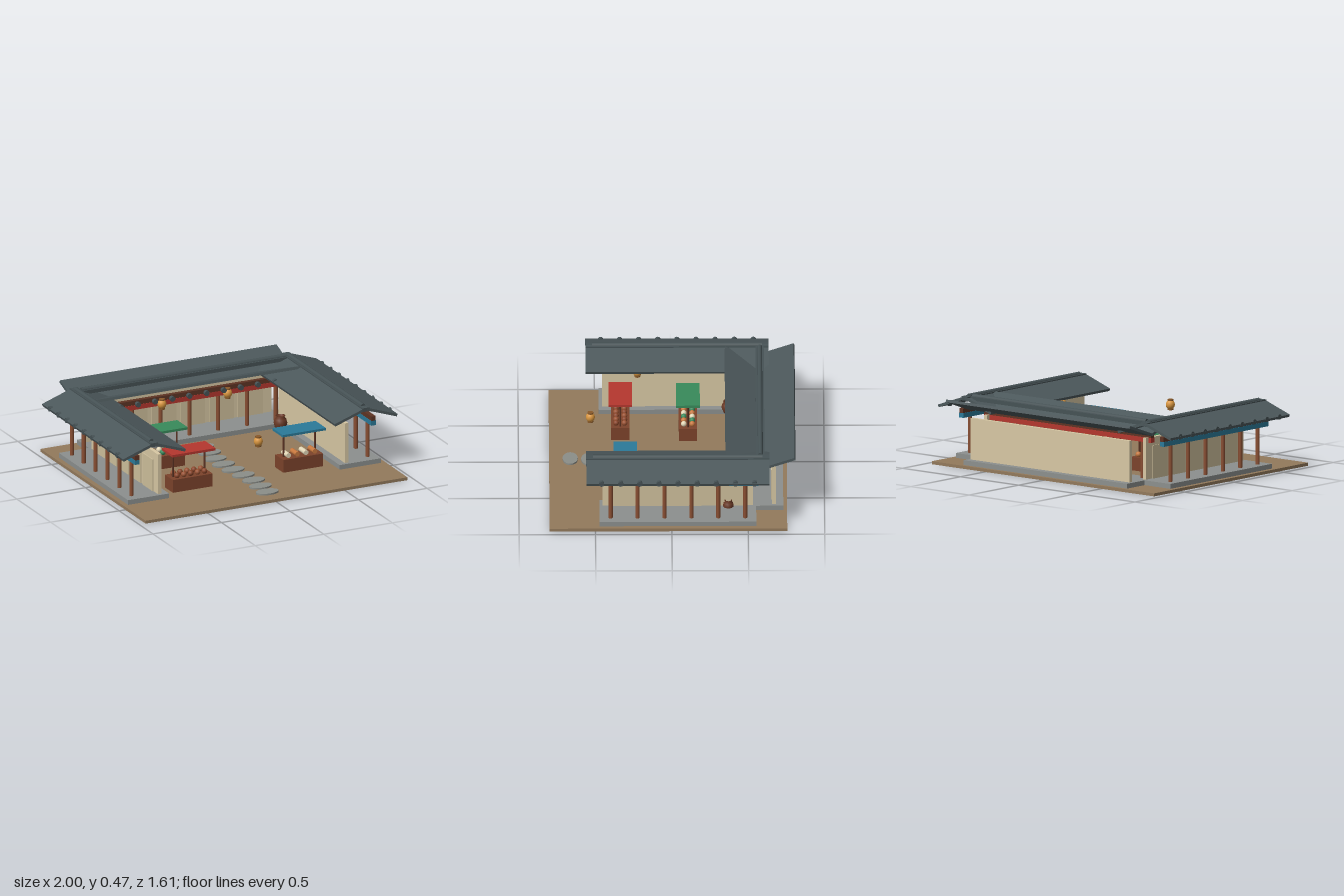
import * as THREE from 'three';

const mats = {};
const mat = (c) => (mats[c] ??= new THREE.MeshStandardMaterial({ color: c }));
const ROOF = 0x4c585b, RIDGE = 0x465255, WOOD = 0x8a4f33, DARK = 0x5e3424, WALL = 0xd8c8a4, PANEL = 0xcfc09c,
  STONE = 0x8c908e, RED = 0xb5372e, BLUE = 0x2b7a99, GREEN = 0x388a5b, CREAM = 0xe4d8b8, ORANGE = 0xc9793f;

function add(parent, name, geometry, color, x = 0, y = 0, z = 0) {
  const mesh = new THREE.Mesh(geometry, mat(color));
  mesh.name = name;
  mesh.position.set(x, y, z);
  parent.add(mesh);
  return mesh;
}
const box = (w, h, d) => new THREE.BoxGeometry(w, h, d);
const cyl = (r, h, n = 12) => new THREE.CylinderGeometry(r, r, h, n);

function group(parent, name, x = 0, y = 0, z = 0) {
  const g = new THREE.Group();
  g.name = name;
  g.position.set(x, y, z);
  parent.add(g);
  return g;
}

// Gallery along local x, open on +z; slope = +1 gable roof, -1 valley roof
function gallery(parent, name, length, columns, beamColor, slope) {
  const g = group(parent, name);
  add(g, 'platform', box(length - 0.175, 0.032, 0.3), STONE, 0, 0.036, 0);
  add(g, 'wall', box(length - 0.215, 0.275, 0.025), WALL, 0, 0.19, -0.09);
  add(g, 'mainBeam', box(length - 0.145, 0.032, 0.035), beamColor, 0, 0.311, 0.09);
  add(g, 'upperBeam', box(length - 0.145, 0.032, 0.03), DARK, 0, 0.342, 0.09);

  // Columns, with shallow door panels on the wall behind each bay
  const span = length - 0.32, bay = span / (columns - 1);
  for (let i = 0; i < columns; i++) {
    const x = -span / 2 + i * bay;
    add(g, 'column', cyl(0.0135, 0.26), WOOD, x, 0.18, 0.09);
    if (i < columns - 1) add(g, 'doorPanel', box(bay - 0.03, 0.22, 0.008), PANEL, x + bay / 2, 0.162, -0.075);
  }

  // Two tilted roof slabs
  for (const s of [-1, 1]) {
    const slab = add(g, 'roofSlope', box(length, 0.018, 0.238), ROOF, 0, 0.407, s * 0.114);
    slab.rotation.x = s * slope * 0.335;
  }
  add(g, 'ridgeBase', box(length, 0.026, 0.055), RIDGE, 0, 0.441, 0);
  add(g, 'ridgeCap', cyl(0.017, length - 0.09), RIDGE, 0, 0.452, 0).rotation.z = Math.PI / 2;

  // Round tile ends along the open eave
  const caps = Math.floor((length - 0.19) / 0.125) + 1;
  for (let i = 0; i < caps; i++) {
    const x = (i - (caps - 1) / 2) * 0.125;
    add(g, 'tileEnd', cyl(0.018, 0.024, 10), RIDGE, x, 0.373, 0.216).rotation.x = Math.PI / 2;
  }
  return g;
}

function lantern(parent, x, y, z) {
  const g = group(parent, 'lantern', x, y, z);
  const body = add(g, 'lanternBody', new THREE.SphereGeometry(0.03, 16, 12), 0xd9963f);
  body.scale.y = 1.1;
  for (const s of [-1, 1]) add(g, 'lanternCap', cyl(0.02, 0.009), 0x8a5a2a, 0, s * 0.031, 0);
}

function jar(parent, x, z, y, s) {
  const profile = [[0, 0], [0.026, 0], [0.036, 0.02], [0.042, 0.045], [0.036, 0.068], [0.024, 0.08],
    [0.03, 0.09], [0.022, 0.09], [0.018, 0.078], [0, 0.076]];
  const geo = new THREE.LatheGeometry(profile.map(([a, b]) => new THREE.Vector2(a, b)), 18);
  add(parent, 'jar', geo, 0x6b3a26, x, y, z).scale.setScalar(s);
}

// Market stall: counter, two poles, canopy and goods
function stall(parent, x, z, canopyColor, goods, rolls) {
  const g = group(parent, 'stall', x, 0, z);
  add(g, 'counter', box(0.29, 0.088, 0.12), 0x7c432b, 0, 0.064, 0);
  add(g, 'canopy', box(0.315, 0.016, 0.155), canopyColor, 0, 0.281, 0);
  for (const s of [-1, 1]) add(g, 'pole', cyl(0.006, 0.255, 8), DARK, s * 0.115, 0.148, 0);
  const n = rolls ? 4 : 5;
  for (let i = 0; i < n; i++) {
    const gx = (i - (n - 1) / 2) * (rolls ? 0.064 : 0.05);
    if (rolls) {
      add(g, 'roll', cyl(0.017, 0.08), goods[i % goods.length], gx, 0.125, 0).rotation.x = Math.PI / 2;
      continue;
    }
    for (const r of [0, 1]) {
      add(g, 'produce', new THREE.SphereGeometry(0.019, 12, 8), goods[(i + r) % goods.length],
        gx, 0.124, (r - 0.5) * 0.055);
    }
  }
}

export function createModel() {
  const model = new THREE.Group();
  model.name = 'courtyardMarket';
  add(model, 'ground', box(1.91, 0.02, 1.555), 0x937a5c, 0, 0.01, 0.0225);

  // Rear hall and two mirrored wings facing outward
  gallery(model, 'rearHall', 1.58, 7, RED, -1).position.z = -0.58;
  for (const s of [-1, 1]) {
    const wing = gallery(model, s > 0 ? 'leftWing' : 'rightWing', 1.2, 6, BLUE, 1);
    wing.position.set(s * 0.772, 0, -0.04);
    wing.rotation.y = s * Math.PI / 2;
  }

  // Stepping stones
  const drift = [0.01, 0, -0.02, -0.02, -0.01, 0.005, 0.02, 0.01, 0];
  drift.forEach((x, i) => {
    const stone = add(model, 'steppingStone', cyl(1, 0.012, 24), 0x8b8e89, x, 0.025, -0.31 + i * 0.1215);
    stone.scale.set(0.079, 1, 0.05);
  });

  stall(model, -0.41, 0.333, RED, [0x9a5232, 0x8a4529]);
  stall(model, -0.395, -0.11, GREEN, [GREEN, ORANGE, CREAM]);
  stall(model, 0.41, 0.303, BLUE, [CREAM, ORANGE], true);

  lantern(model, 0, 0.335, 0.53);
  for (const s of [-1, 1]) {
    lantern(model, s * 0.24, 0.33, -0.41);
    lantern(model, s * 0.67, 0.31, 0.22);
  }

  jar(model, -0.64, -0.37, 0.02, 0.95);
  jar(model, 0.62, -0.4, 0.02, 1.08);
  jar(model, 0.705, -0.37, 0.02, 0.85);
  return model;
}
